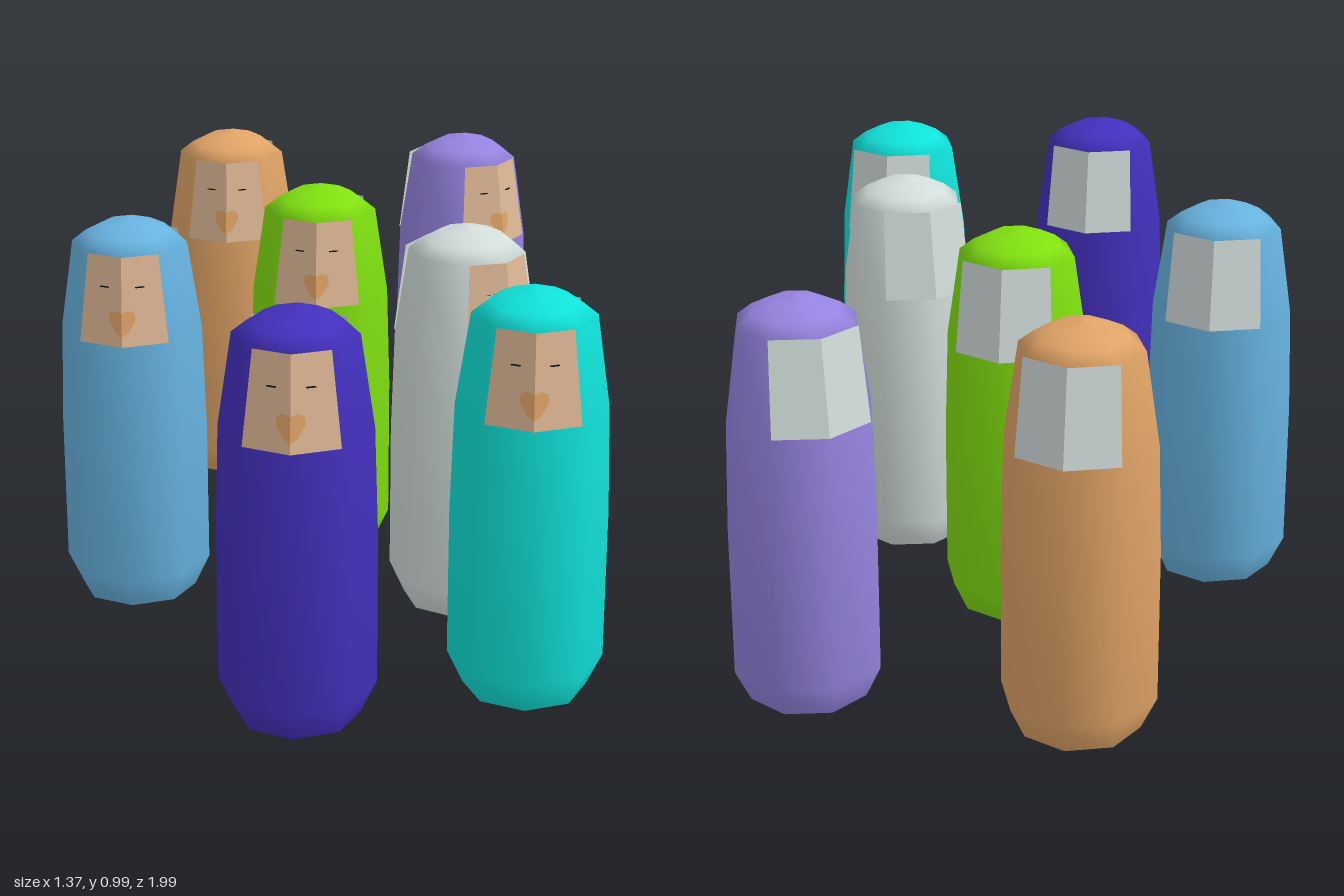
import * as THREE from 'three';

const mat = (name, color, side = THREE.DoubleSide) => {
  const m = new THREE.MeshStandardMaterial({ color, side });
  m.name = name;
  return m;
};

// Front ridge of the eight-sided body narrows evenly between shoulder and crown
const ridge = (y) => 0.177 - 0.15 * (y - 0.71);
const surfaceZ = (x, y, lift) => ridge(y) - 0.4142 * Math.abs(x) + lift;

// Half outline [x, y], mirrored and folded over the ridge of the body
function foldedPlate(name, outline, lift, material) {
  const group = new THREE.Group();
  group.name = name;
  for (const side of [1, -1]) {
    const shape = new THREE.Shape(outline.map(([x, y]) => new THREE.Vector2(side * x, y)));
    const geo = new THREE.ShapeGeometry(shape);
    const p = geo.attributes.position;
    for (let i = 0; i < p.count; i++) p.setZ(i, surfaceZ(p.getX(i), p.getY(i), lift));
    geo.computeVertexNormals();
    const mesh = new THREE.Mesh(geo, material);
    mesh.name = name + (side > 0 ? 'Left' : 'Right');
    group.add(mesh);
  }
  return group;
}

export function createModel() {
  const colours = {
    orange: mat('orange', 0xe0a366),
    purple: mat('purple', 0x9683e0),
    green: mat('green', 0x80e010),
    blue: mat('blue', 0x67b3e0),
    white: mat('white', 0xd2dedb),
    cyan: mat('cyan', 0x10e2d9),
    indigo: mat('indigo', 0x4330be),
  };
  const skin = mat('skin', 0xdfb896);
  const black = mat('black', 0x101010);

  // Body profile from the foot to the rounded crown
  const profile = [
    [0.147, 0], [0.185, 0.08], [0.185, 0.45], [0.177, 0.71],
    [0.144, 0.93], [0.108, 0.958], [0.065, 0.979], [0, 0.99],
  ].map(([r, y]) => new THREE.Vector2(r, y));
  const bodyGeo = new THREE.LatheGeometry(profile, 8);
  const baseGeo = new THREE.CircleGeometry(0.147, 8).rotateX(Math.PI / 2);
  const eyeGeo = new THREE.BoxGeometry(0.022, 0.002, 0.012);

  const face = [[0, 0.71], [0.11, 0.71], [0.087, 0.93], [0, 0.93]];
  const back = [[0, 0.71], [0.12, 0.71], [0.108, 0.935], [0, 0.935]];
  const nose = [[0, 0.735], [0.016, 0.745], [0.033, 0.775], [0.03, 0.793], [0.016, 0.8], [0, 0.794]];

  function figure(name, material, x, z, turn) {
    const g = new THREE.Group();
    g.name = name;
    const body = new THREE.Mesh(bodyGeo, material);
    body.name = 'body';
    const base = new THREE.Mesh(baseGeo, material);
    base.name = 'base';
    g.add(body, base);

    g.add(foldedPlate('face', face, 0.006, skin));
    g.add(foldedPlate('nose', nose, 0.009, colours.orange));
    for (const side of [1, -1]) {
      const eye = new THREE.Mesh(eyeGeo, black);
      eye.name = side > 0 ? 'eyeLeft' : 'eyeRight';
      eye.position.set(side * 0.042, 0.855, surfaceZ(0.042, 0.855, 0.005));
      eye.rotation.y = side * Math.PI / 8;
      g.add(eye);
    }
    const backPlate = foldedPlate('backPanel', back, 0.008, colours.white);
    backPlate.rotation.y = Math.PI;
    g.add(backPlate);

    g.position.set(x, 0, z);
    g.rotation.y = turn;
    return g;
  }

  // The seven figures; two are turned toward their left
  const model = new THREE.Group();
  model.name = 'figures';
  const turned = THREE.MathUtils.degToRad(40);
  const places = [
    ['orange', -0.335, -0.81, 0],
    ['purple', 0.325, -0.8, turned],
    ['green', -0.045, -0.22, 0],
    ['blue', -0.5, 0.115, 0],
    ['white', 0.34, 0.14, turned],
    ['cyan', 0.495, 0.64, 0],
    ['indigo', -0.035, 0.81, 0],
  ];
  for (const [c, x, z, turn] of places) model.add(figure(c + 'Figure', colours[c], x, z, turn));
  return model;
}
